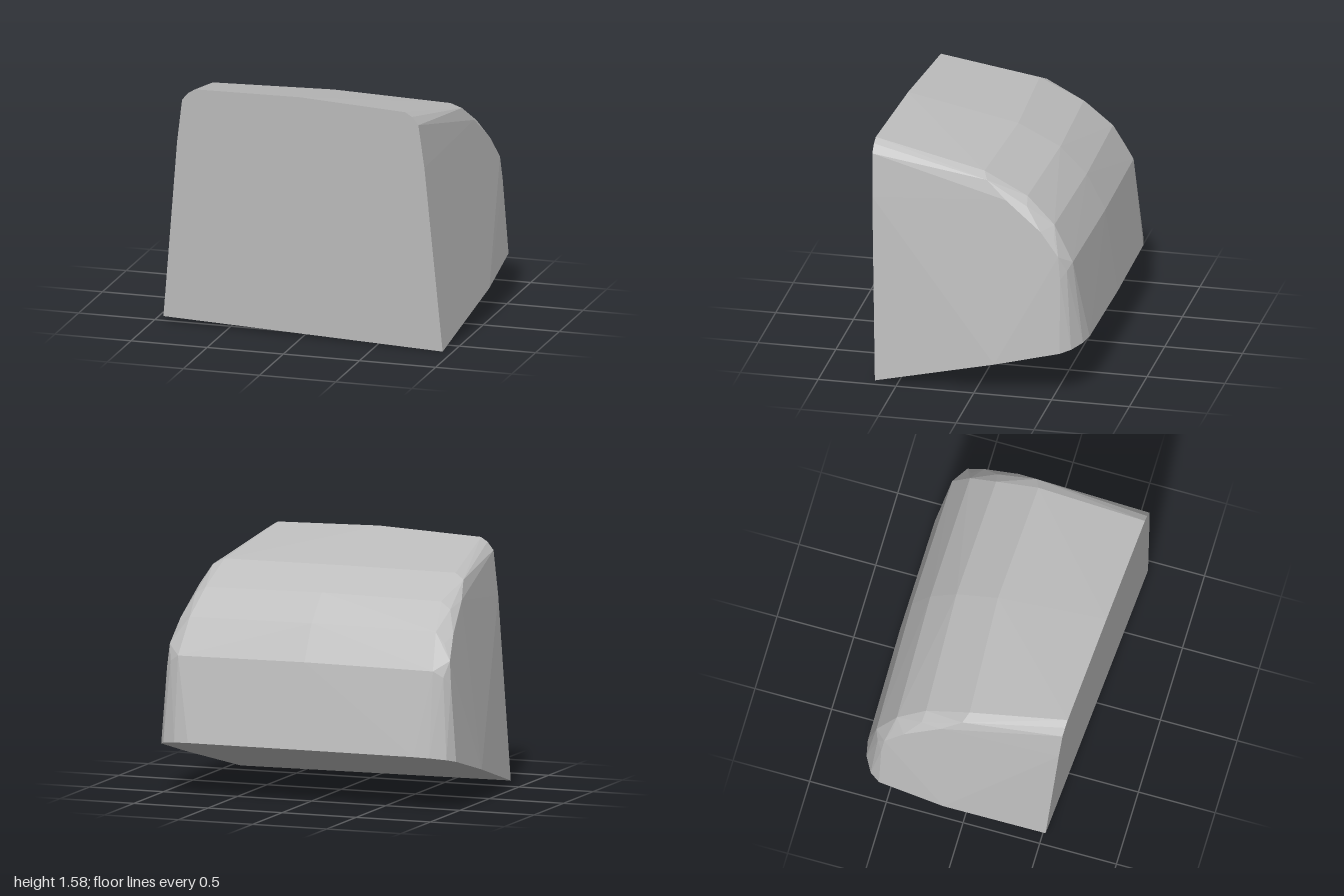
import * as THREE from 'three';
import { ConvexGeometry } from 'three/addons/geometries/ConvexGeometry.js';

// The front is a slightly yawed, tilted plane; the base slopes up to the back.
const frontZ = (x, y) => 0.585 + 0.0695 * x + 0.04 * y;
const baseY = (z) => Math.max(0, 0.172 - 0.262 * z);

export function createModel() {
  const grey = new THREE.MeshStandardMaterial({ color: 0xbdbdbd });
  grey.name = 'lightGrey';
  grey.flatShading = true;

  const points = [];
  const add = (x, y, z) => points.push(new THREE.Vector3(x, y, z));

  // Front face outline, from the crown down to the base corners
  const front = [[0, 1.58], [0.705, 1.557], [0.75, 1.53], [0.793, 1.48], [0.83, 1.2]];
  // Curved shell: crown, shoulder, bevel and side points for each station
  const stations = [
    [[0, 1.435, -0.06], [0.78, 1.425, -0.02], [0.845, 1.39, -0.05], [0.885, 1.28, -0.18]],
    [[0, 1.30, -0.33], [0.795, 1.285, -0.30], [0.86, 1.24, -0.31], [0.92, 1.10, -0.41]],
    [[0, 1.13, -0.50], [0.83, 1.12, -0.48], [0.89, 1.05, -0.49], [0.945, 0.95, -0.53]],
    [[0, 0.90, -0.62], [0.86, 0.89, -0.605], [0.92, 0.85, -0.58], [0.958, 0.80, -0.545]],
  ];
  // Base outline, from the middle of the back round to the side
  const base = [[0, -0.70], [0.76, -0.69], [0.86, -0.67], [0.955, -0.615], [0.995, -0.55], [1, -0.13]];

  for (const side of [-1, 1]) {
    for (const [x, y] of front) add(side * x, y, frontZ(side * x, y));
    for (const row of stations) for (const [x, y, z] of row) add(side * x, y, z);
    for (const [x, z] of base) add(side * x, baseY(z), z);
    const cornerX = side * 0.937;
    const cornerZ = frontZ(cornerX, 0);
    add(cornerX, baseY(cornerZ), cornerZ);
  }

  const body = new THREE.Mesh(new ConvexGeometry(points), grey);
  body.name = 'bevelledBody';

  const group = new THREE.Group();
  group.name = 'roundedWedge';
  group.add(body);
  return group;
}
